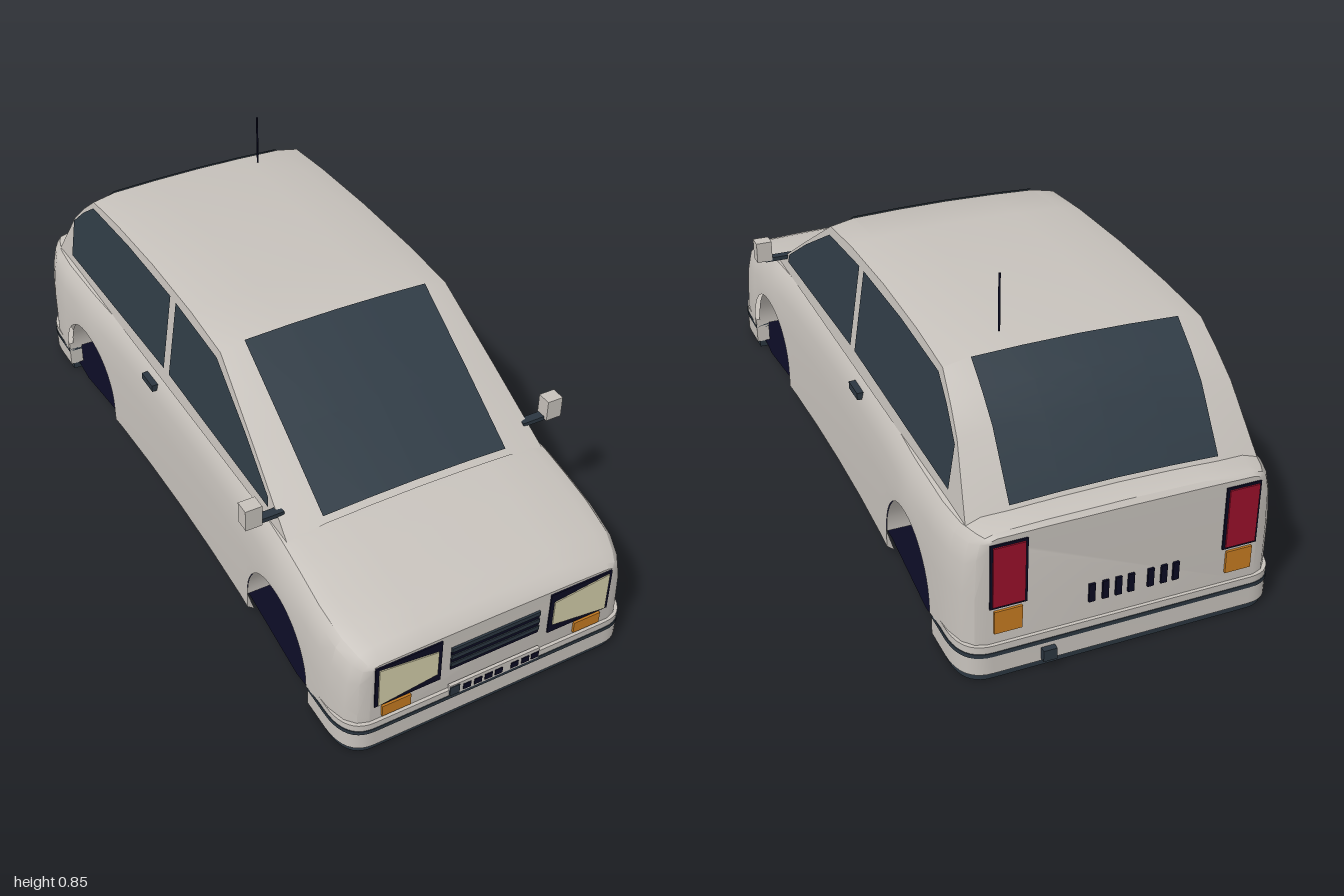
import * as THREE from 'three';
import { toCreasedNormals } from 'three/addons/utils/BufferGeometryUtils.js';

const material = (name, color, side = THREE.FrontSide) => {
  const m = new THREE.MeshStandardMaterial({ color, side });
  m.name = name;
  return m;
};

// Piecewise linear lookup in a table of [key, value], keys descending
function lerpTable(table, k) {
  for (let i = 0; i < table.length - 1; i++) {
    const [k0, v0] = table[i], [k1, v1] = table[i + 1];
    if (k >= k1) return v0 + (v1 - v0) * Math.min(1, Math.max(0, (k0 - k) / (k0 - k1)));
  }
  return table[table.length - 1][1];
}

// Skin through sections ordered front to back, each running from -x over the top to +x
function loft(sections, caps = false) {
  const n = sections[0].length, index = [];
  for (let i = 0; i < sections.length - 1; i++) {
    for (let j = 0; j < n - 1; j++) {
      const a = i * n + j, c = a + n;
      index.push(a, a + 1, c, a + 1, c + 1, c);
    }
  }
  if (caps) {
    const last = (sections.length - 1) * n;
    for (let j = 1; j < n - 1; j++) index.push(0, j + 1, j, last, last + j, last + j + 1);
  }
  const geo = new THREE.BufferGeometry();
  geo.setAttribute('position', new THREE.Float32BufferAttribute(sections.flat(2), 3));
  geo.setIndex(index);
  return toCreasedNormals(geo, 0.5);
}

// Mirror a half section (outer edge to centre line) to a full one
const fullSection = (half, z) => [
  ...half.map(([x, y]) => [-x, y, z]),
  ...half.slice(0, -1).reverse().map(([x, y]) => [x, y, z]),
];

export function createModel() {
  const car = new THREE.Group();
  car.name = 'car';
  const paint = material('body paint', 0xc6c1bb);
  const paintInner = material('wheel arch paint', 0xc6c1bb, THREE.DoubleSide);
  const glass = material('dark glass', 0x2f3b45, THREE.DoubleSide);
  const trim = material('slate trim', 0x2b3640);
  const dark = material('dark navy', 0x0a0a22, THREE.DoubleSide);
  const lens = material('headlight lens', 0xd2cca8);
  const amber = material('amber lens', 0xc47a20);
  const red = material('red lens', 0x98102a);

  const add = (name, geo, mat, parent = car) => {
    const m = new THREE.Mesh(geo, mat);
    m.name = name;
    parent.add(m);
    return m;
  };
  const box = (name, mat, x0, x1, y0, y1, z0, z1) =>
    add(name, new THREE.BoxGeometry(x1 - x0, y1 - y0, z1 - z0), mat)
      .position.set((x0 + x1) / 2, (y0 + y1) / 2, (z0 + z1) / 2);

  // Lower body with wheel arches
  const ARCH_Z = 0.62, ARCH_Y = 0.085, ARCH_R = 0.172, END = 0.975;
  const widths = [[END, 0.352], [0.965, 0.38], [0.94, 0.402], [0.89, 0.417], [0.8, 0.424],
    [0.6, 0.42], [0.4, 0.408], [0.2, 0.402], [0, 0.4]];
  const heights = [[END, 0.285], [0.965, 0.297], [0.94, 0.314], [0.89, 0.334], [0.8, 0.358],
    [0.7, 0.382], [0.6, 0.402], [0.4, 0.405], [-0.94, 0.405], [-0.965, 0.4], [-END, 0.39]];
  const bottom = (z) => {
    const d = Math.abs(z) - ARCH_Z;
    if (Math.abs(d) <= ARCH_R + 1e-6) return ARCH_Y + Math.sqrt(Math.max(0, ARCH_R ** 2 - d * d));
    return d > 0 ? 0.08 : 0.02;
  };
  const halfZ = [END, 0.965, 0.94, 0.89, 0.84, ARCH_Z + ARCH_R + 0.001];
  for (let i = 0; i <= 20; i++) halfZ.push(ARCH_Z + ARCH_R * Math.cos(i * Math.PI / 20));
  halfZ.push(ARCH_Z - ARCH_R - 0.001, 0.4, 0.2);
  const allZ = [...halfZ, 0, ...halfZ.map((z) => -z).reverse()];
  add('body', loft(allZ.map((z) => {
    const w = lerpTable(widths, Math.abs(z)), h = lerpTable(heights, z), b = bottom(z);
    const k = Math.abs(z) > 0.97 ? 0.3 : Math.abs(z) > 0.95 ? 0.7 : 1;
    const tuck = Math.abs(z) < ARCH_Z - ARCH_R ? 0.02 : 0;
    return fullSection([
      [w - tuck, b], [w, b + tuck * 0.8], [w, Math.max(b + 0.02, h - 0.17)],
      [w - 0.006 * k, h - 0.09 * k], [w - 0.018 * k, h - 0.035 * k], [w - 0.035 * k, h - 0.014 * k],
      [w - 0.075 * k, h - 0.003 * k], [0.2, h + 0.003 * k], [0, h + 0.006 * k],
    ], z);
  }), true), paint);

  // Wheel arch tunnels
  for (const s of [1, -1]) {
    const tunnel = new THREE.CylinderGeometry(ARCH_R, ARCH_R, 0.82, 24, 1, true, 0, Math.PI);
    tunnel.rotateZ(Math.PI / 2).translate(0, ARCH_Y, s * ARCH_Z);
    add(s > 0 ? 'frontWheelArch' : 'rearWheelArch', tunnel, paintInner);
  }

  // Floor pan
  const floor = new THREE.Shape();
  for (const [x, z] of [[0.34, 0.95], [0.39, 0.88], [0.4, 0.7], [0.38, 0.4]]) {
    floor[x === 0.34 ? 'moveTo' : 'lineTo'](x, z);
  }
  for (const [x, z] of [[0.38, -0.4], [0.4, -0.7], [0.39, -0.88], [0.34, -0.95], [-0.34, -0.95], [-0.39, -0.88],
    [-0.4, -0.7], [-0.38, -0.4], [-0.38, 0.4], [-0.4, 0.7], [-0.39, 0.88], [-0.34, 0.95]]) floor.lineTo(x, z);
  add('floor', new THREE.ShapeGeometry(floor).rotateX(Math.PI / 2).translate(0, 0.021, 0), dark);

  // Cabin shell
  const sideX = (y) => 0.375 - (y - 0.41) * 0.145;
  const profile = [[0.61, 0.404], [0.4, 0.543], [0.18, 0.683], [0, 0.698], [-0.25, 0.703],
    [-0.5, 0.695], [-0.67, 0.68], [-0.74, 0.623], [-0.8, 0.565], [-0.905, 0.405]];
  add('cabin', loft(profile.map(([z, y]) => fullSection([
    [sideX(0.39), 0.39], [sideX(y - 0.014), y - 0.014], [0.27, y], [0.14, y + 0.005], [0, y + 0.007],
  ], z))), paint);

  // Windscreen and rear window
  const screen = (name, points, dz) => add(name, loft(points.map(([z, y]) => fullSection([
    [0.27, y + 0.004], [0.14, y + 0.009], [0, y + 0.011],
  ], z + dz))), glass);
  screen('windscreen', [[0.595, 0.414], [0.4, 0.543], [0.18, 0.683]], 0.002);
  screen('rearWindow', [[-0.672, 0.678], [-0.74, 0.623], [-0.8, 0.565], [-0.9, 0.413]], -0.003);

  // Side windows
  const sideWindow = (name, points, side) => {
    const geo = new THREE.ShapeGeometry(new THREE.Shape(points.map(([z, y]) => new THREE.Vector2(z, y))));
    const p = geo.attributes.position;
    for (let i = 0; i < p.count; i++) {
      const z = p.getX(i), y = p.getY(i);
      p.setXYZ(i, side * (sideX(y) + 0.004), y, z);
    }
    geo.computeVertexNormals();
    add(name, geo, glass);
  };
  for (const s of [1, -1]) {
    const label = s > 0 ? 'left' : 'right';
    sideWindow(label + 'FrontWindow', [[0.51, 0.425], [0.505, 0.45], [0.36, 0.543], [0.17, 0.65],
      [-0.083, 0.665], [-0.083, 0.437]], s);
    sideWindow(label + 'RearWindow', [[-0.117, 0.437], [-0.117, 0.666], [-0.4, 0.666], [-0.66, 0.652],
      [-0.73, 0.603], [-0.8, 0.54], [-0.8, 0.422]], s);

    const span = (a, b) => (s > 0 ? [a, b] : [-b, -a]);
    // Mirrors and door handles
    box(label + 'MirrorArm', trim, ...span(0.355, 0.44), 0.425, 0.437, 0.53, 0.555);
    box(label + 'Mirror', paint, ...span(0.42, 0.466), 0.43, 0.491, 0.526, 0.566);
    box(label + 'DoorHandle', trim, ...span(0.38, 0.403), 0.345, 0.365, -0.215, -0.145);

    // Headlights and front indicators
    box(label + 'HeadlightFrame', dark, ...span(0.157, 0.341), 0.148, 0.278, 0.972, 0.979);
    const glow = new THREE.Shape([[0.332, 0.152], [0.332, 0.271], [0.168, 0.251], [0.168, 0.174]]
      .map(([x, y]) => new THREE.Vector2(s * x, y)));
    add(label + 'HeadlightLens', new THREE.ExtrudeGeometry(glow, { depth: 0.004, bevelEnabled: false })
      .translate(0, 0, 0.978), lens);
    box(label + 'FrontIndicator', amber, ...span(0.24, 0.32), 0.108, 0.142, 0.972, 0.981);

    // Tail lamps
    box(label + 'TailLampFrame', dark, ...span(0.255, 0.348), 0.2, 0.375, -0.979, -0.972);
    box(label + 'TailLamp', red, ...span(0.262, 0.342), 0.207, 0.369, -0.983, -0.978);
    box(label + 'RearIndicator', amber, ...span(0.267, 0.337), 0.13, 0.192, -0.981, -0.972);
  }

  // Wrap-around bumpers
  const bumperBand = (name, mat, y0, y1, grow, front) => {
    const a = 0.42 + grow, e = 0.984 + grow, t = 0.04, u = new THREE.Shape();
    u.moveTo(-a, 0.795);
    u.lineTo(a - 2 * a, 0.88);
    u.quadraticCurveTo(-a, e, -0.34, e);
    u.lineTo(0.34, e);
    u.quadraticCurveTo(a, e, a, 0.88);
    u.lineTo(a, 0.795);
    u.lineTo(a - t, 0.795);
    u.lineTo(a - t, 0.88);
    u.quadraticCurveTo(a - t, e - t, 0.32, e - t);
    u.lineTo(-0.32, e - t);
    u.quadraticCurveTo(t - a, e - t, t - a, 0.88);
    u.lineTo(t - a, 0.795);
    const geo = new THREE.ExtrudeGeometry(u, { depth: y1 - y0, bevelEnabled: false, curveSegments: 10 });
    geo.rotateX(-Math.PI / 2).translate(0, y0, 0);
    if (front) geo.rotateY(Math.PI);
    add(name, toCreasedNormals(geo, 0.5), mat);
  };
  for (const front of [true, false]) {
    const label = front ? 'front' : 'rear';
    bumperBand(label + 'Bumper', paint, 0.02, 0.1, 0, front);
    bumperBand(label + 'BumperStripe', trim, 0.07, 0.081, 0.002, front);
    bumperBand(label + 'BumperLip', trim, 0, 0.02, -0.008, front);
  }

  // Grille bars
  for (let i = 0; i < 6; i++) {
    const y = 0.166 + i * 0.0123;
    box('grilleBar', i % 2 ? trim : dark, -0.129, 0.127, y, y + 0.0123, 0.972, i % 2 ? 0.981 : 0.978);
  }

  // Number plates with plain blocks
  box('frontPlate', paint, -0.132, 0.132, 0.081, 0.116, 0.978, 0.987);
  box('frontPlateBadge', trim, -0.132, -0.104, 0.083, 0.112, 0.98, 0.989);
  for (const x of [-0.082, -0.05, -0.019, 0.011, 0.058, 0.09, 0.119]) {
    box('frontPlateBlock', dark, x - 0.011, x + 0.011, 0.087, 0.105, 0.981, 0.989);
    box('rearPlateBlock', dark, -x * 1.1 - 0.008, -x * 1.1 + 0.008, 0.15, 0.2, -0.981, -0.973);
  }

  // Tow cover and aerial
  box('towCover', trim, 0.185, 0.22, 0.027, 0.058, -1, -0.975);
  add('aerial', new THREE.CylinderGeometry(0.003, 0.003, 0.15, 8), dark).position.set(0.17, 0.771, -0.605);

  return car;
}
